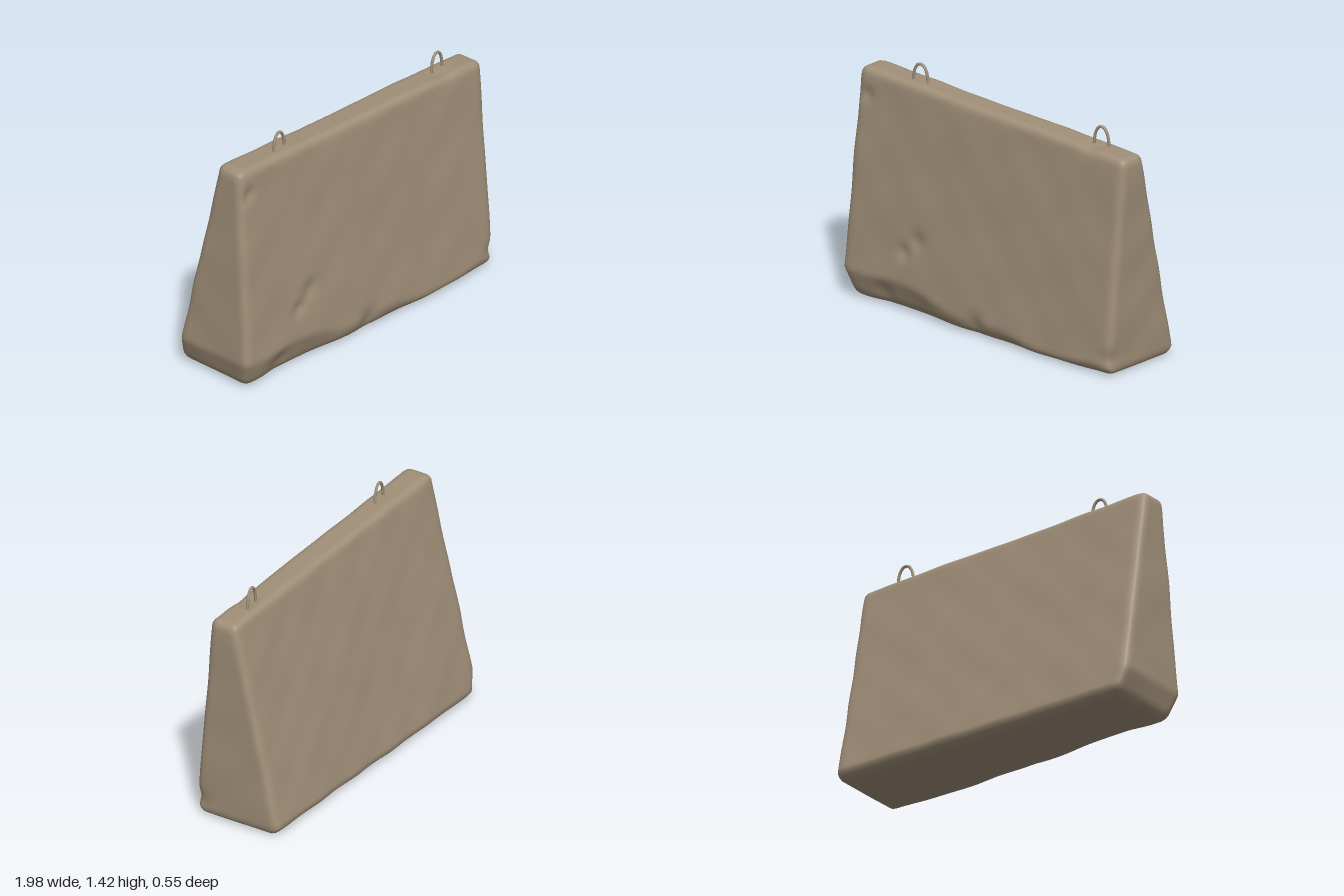
import * as THREE from 'three';
import { mergeVertices } from 'three/addons/utils/BufferGeometryUtils.js';

const lerp = THREE.MathUtils.lerp;
const smooth = THREE.MathUtils.smoothstep;

// Gentle, repeatable unevenness of weathered concrete, about -1..1
function rough(x, y, z) {
  return 0.45 * Math.sin(5.1 * x + 3.2 * y + 1.3) * Math.cos(4.3 * y - 6 * z)
    + 0.3 * Math.sin(11 * x - 7 * y + 9 * z) * Math.cos(8 * y + 5 * x + 0.7)
    + 0.25 * Math.sin(19 * x + 4 * z + 2) * Math.sin(17 * y + 13 * z + 1);
}

// Chips in the faces: centre, radius, depth
const chips = [
  [-0.55, 0.36, 0.26, 0.06, 0.022],
  [-0.46, 0.44, 0.25, 0.07, 0.018],
  [-0.88, 1.18, 0.18, 0.06, 0.02],
  [-0.02, 0.08, 0.27, 0.08, 0.02],
  [0.72, 1.26, 0.12, 0.09, 0.012],
  [0.95, 0.1, 0.24, 0.07, 0.02],
  [-0.7, 0.08, 0.25, 0.09, 0.015],
];

// Tapered slab with rounded edges, sloping top and a worn foot
function slabGeometry() {
  let geo = new THREE.BoxGeometry(2, 2, 2, 80, 56, 24);
  geo.deleteAttribute('uv');
  geo.deleteAttribute('normal');
  geo = mergeVertices(geo);
  const pos = geo.attributes.position;
  const r = 0.045;
  const half = new THREE.Vector3(0.98, 0.65, 0.2);
  const p = new THREE.Vector3(), core = new THREE.Vector3(), dir = new THREE.Vector3();
  const inner = half.clone().subScalar(r);

  for (let i = 0; i < pos.count; i++) {
    p.fromBufferAttribute(pos, i).multiply(half);
    core.copy(p).clamp(inner.clone().negate(), inner);
    dir.copy(p).sub(core).normalize();

    // Place the core in the tapered envelope, then add the round edge
    const t = (core.y / inner.y + 1) / 2;
    const u = (core.x / inner.x + 1) / 2;
    const w = (core.z / inner.z + 1) / 2;
    const top = lerp(1.33, 1.25, u);
    let x = lerp(lerp(-0.995, -0.945, t) + r, lerp(0.975, 0.99, t) - r, u) + r * dir.x;
    let y = lerp(0.01 + r, top - r, t) + r * dir.y;
    let z = lerp(lerp(-0.275, -0.015, t) + r, lerp(0.272, 0.167, t) - r, w) + r * dir.z;

    // Worn lower front edge, deepest towards the right-hand end
    const wearHeight = lerp(0.19, 0.05, smooth(x, -1, 0.6)) + 0.02 * Math.sin(9 * x);
    const wear = Math.max(0, 1 - y / wearHeight);
    z -= 0.42 * wearHeight * wear * smooth(w, 0.3, 1);
    // Worn foot at the two ends and along the back
    const foot = Math.max(0, 1 - y / 0.17);
    x += 0.06 * foot * (1 - smooth(u, 0, 0.08));
    const heel = Math.max(0, 1 - y / 0.06);
    z += 0.03 * heel * (1 - smooth(w, 0, 0.4));

    // Surface unevenness, pushed along the outward direction
    const n = rough(x, y, z);
    const out = dir.lengthSq() > 0 ? dir : p;
    x += 0.007 * n * out.x;
    y += 0.005 * n * out.y;
    z += 0.007 * n * out.z;
    for (const [cx, cy, cz, radius, depth] of chips) {
      const d = Math.hypot(x - cx, y - cy, z - cz) / radius;
      const push = depth * Math.exp(-2 * d * d);
      x -= push * out.x;
      y -= push * out.y;
      z -= push * out.z;
    }
    pos.setXYZ(i, x, Math.max(0, y), z);
  }
  geo.computeVertexNormals();
  return geo;
}

// Bent steel loop standing on the top edge
function loopGeometry() {
  const path = new THREE.CatmullRomCurve3([
    [-0.05, -0.04], [-0.048, 0.015], [-0.036, 0.068], [-0.014, 0.096],
    [0.014, 0.096], [0.036, 0.068], [0.048, 0.015], [0.05, -0.04],
  ].map(([x, y]) => new THREE.Vector3(x, y, 0)));
  return new THREE.TubeGeometry(path, 28, 0.0085, 8, false);
}

export function createModel() {
  const model = new THREE.Group();
  model.name = 'concreteBarrier';
  const concrete = new THREE.MeshStandardMaterial({ color: 0xa08f78 });
  concrete.name = 'concrete';

  const slab = new THREE.Mesh(slabGeometry(), concrete);
  slab.name = 'slab';
  model.add(slab);

  // Two lifting loops, slightly twisted
  const loop = loopGeometry();
  [['rightLiftingLoop', -0.558, 1.315, 0.092], ['leftLiftingLoop', 0.737, 1.262, 0.058]]
    .forEach(([name, x, y, z]) => {
      const mesh = new THREE.Mesh(loop, concrete);
      mesh.name = name;
      mesh.position.set(x, y, z);
      mesh.rotation.y = 0.12;
      model.add(mesh);
    });
  return model;
}
